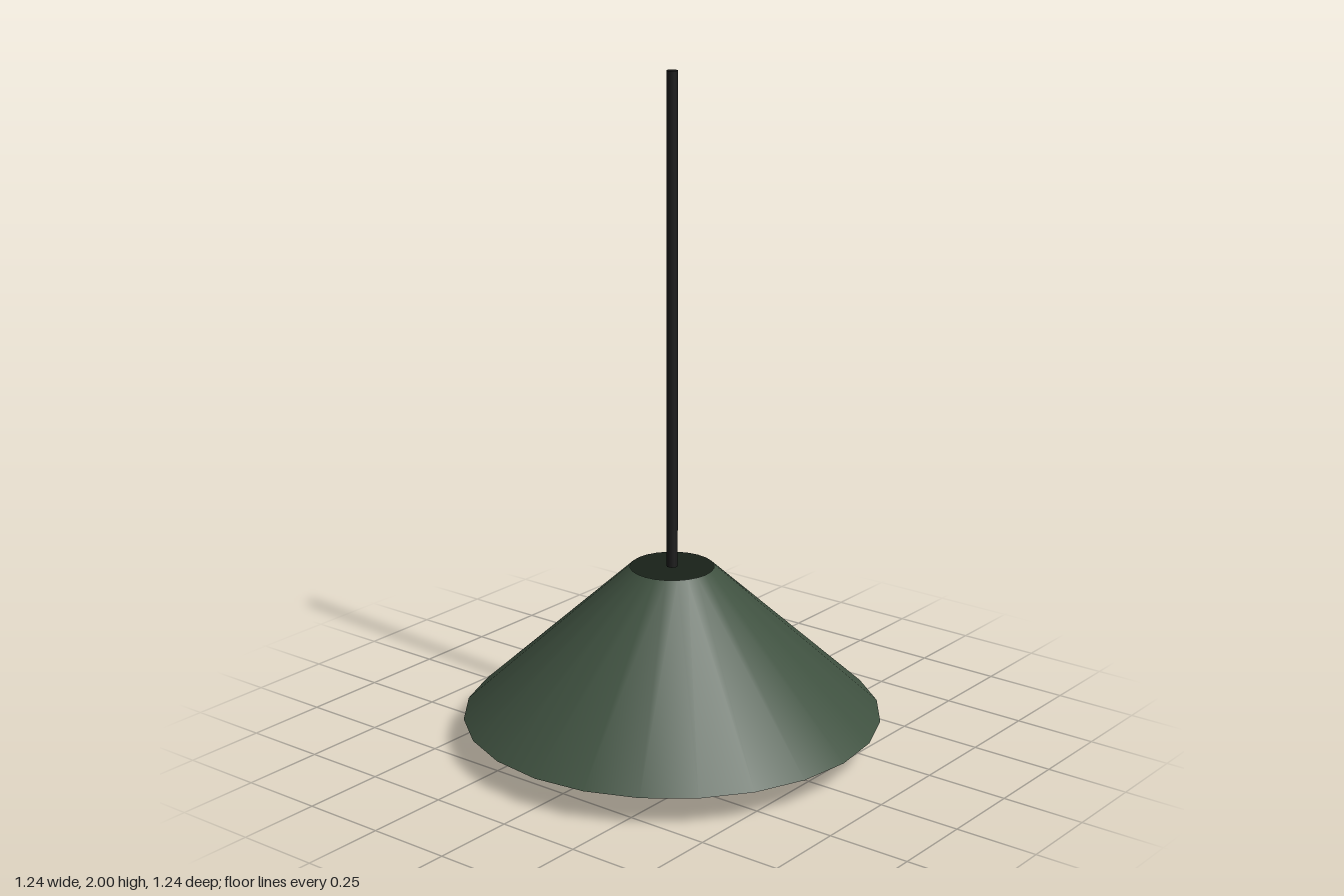
import * as THREE from 'three';

const material = (name, color, side = THREE.FrontSide) => {
  const m = new THREE.MeshStandardMaterial({ color, side });
  m.name = name;
  return m;
};

export function createModel() {
  const group = new THREE.Group();
  group.name = 'pendantLamp';

  const add = (name, geometry, mat, y) => {
    const mesh = new THREE.Mesh(geometry, mat);
    mesh.name = name;
    mesh.position.y = y;
    group.add(mesh);
  };

  const shadeBottom = 0.09, shadeTop = 0.545, cordTop = 2;
  const shadeHeight = shadeTop - shadeBottom;
  const cordLength = cordTop - shadeTop;
  const bulbRadius = 0.124;

  // Thin conical shade, open at both ends
  add('shade', new THREE.CylinderGeometry(0.124, 0.62, shadeHeight, 24, 1, true),
    material('dark green', 0x3f5140, THREE.DoubleSide), shadeBottom + shadeHeight / 2);

  // Round bulb peeking out below the rim
  add('bulb', new THREE.SphereGeometry(bulbRadius, 16, 12),
    material('warm cream', 0xe8dcc4), bulbRadius);

  // Straight cord rising from the top of the shade
  add('cord', new THREE.CylinderGeometry(0.0165, 0.0165, cordLength, 12),
    material('black', 0x1c1c1c), shadeTop + cordLength / 2);

  return group;
}
